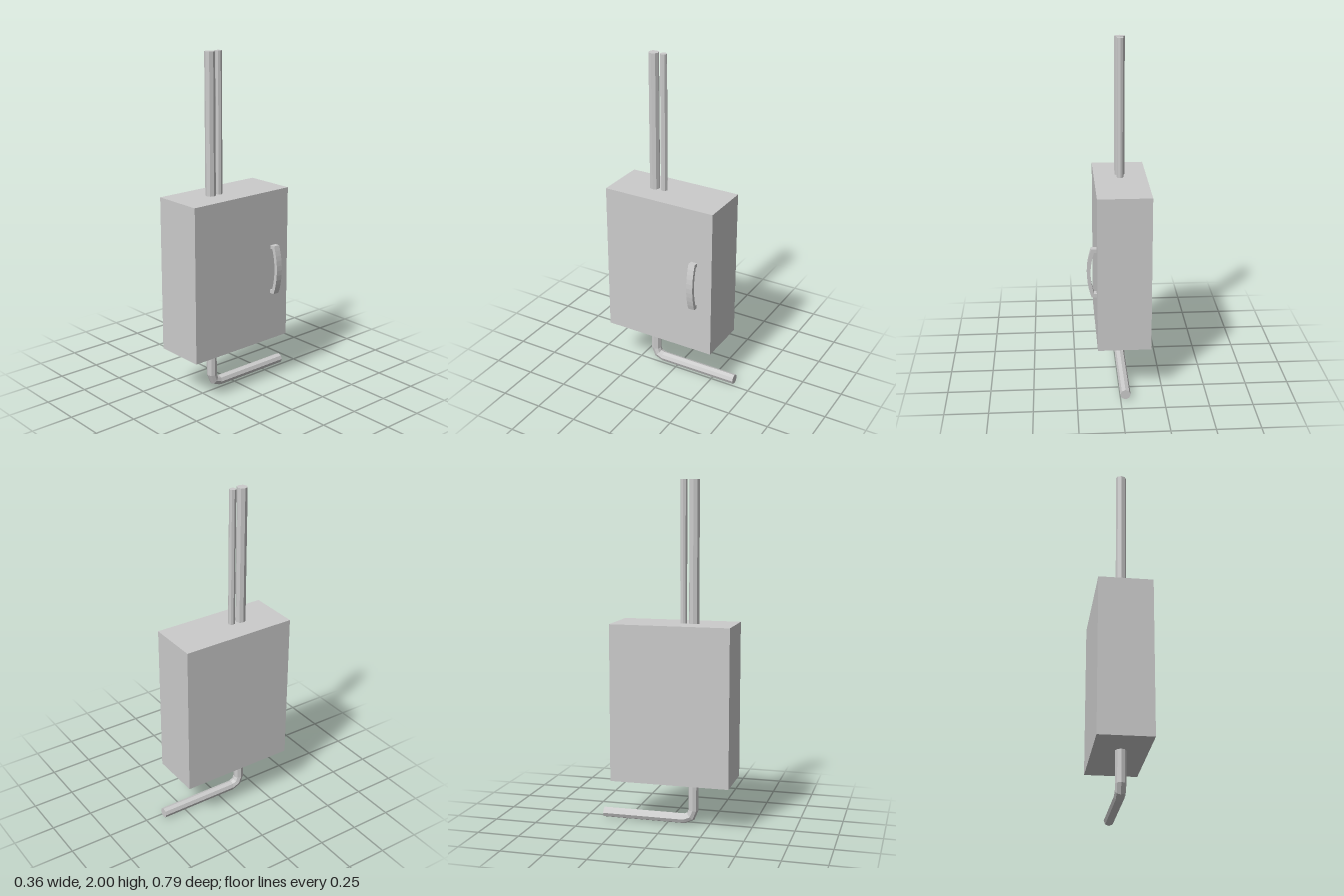
import * as THREE from 'three';

const material = new THREE.MeshStandardMaterial({ color: 0xcccccc, flatShading: true });
const PIPE_X = -0.028, PIPE_Z = 0.155, PIPE_R = 0.03;

function addPart(group, name, geometry, x = 0, y = 0, z = 0) {
  const mesh = new THREE.Mesh(geometry, material);
  mesh.name = name;
  mesh.position.set(x, y, z);
  group.add(mesh);
}

// Octagonal pipe that drops from the box, bends and runs backwards
function elbowPipeGeometry() {
  const bend = 0.055, low = 0.031;
  const cy = low + bend, cz = PIPE_Z - bend;
  const arc = (a) => ({ y: cy - bend * Math.sin(a), z: cz + bend * Math.cos(a), a });
  const rows = [
    { y: 0.28, z: PIPE_Z, a: 0 },
    arc(0), arc(Math.PI / 4), arc(Math.PI / 2),
    { y: low, z: -0.395, a: Math.PI / 2 },
  ];
  const steps = rows.length - 1;
  const geometry = new THREE.CylinderGeometry(PIPE_R, PIPE_R, 1, 8, steps);
  const p = geometry.attributes.position;
  for (let i = 0; i < p.count; i++) {
    const row = rows[Math.round((0.5 - p.getY(i)) * steps)];
    const offset = p.getZ(i);
    p.setXYZ(i, p.getX(i) + PIPE_X, row.y - offset * Math.sin(row.a), row.z + offset * Math.cos(row.a));
  }
  geometry.computeVertexNormals();
  return geometry;
}

// Bowed grab handle, drawn in x/y and extruded in z
function handleGeometry() {
  const shape = new THREE.Shape();
  shape.moveTo(0, -0.148);
  shape.lineTo(0.03, -0.148);
  shape.quadraticCurveTo(0.081, 0, 0.03, 0.148);
  shape.lineTo(0, 0.148);
  shape.lineTo(0, 0.126);
  shape.lineTo(0.015, 0.126);
  shape.quadraticCurveTo(0.055, 0, 0.015, -0.126);
  shape.lineTo(0, -0.126);
  shape.closePath();
  return new THREE.ExtrudeGeometry(shape, { depth: 0.04, bevelEnabled: false, curveSegments: 10 });
}

export function createModel() {
  const model = new THREE.Group();
  model.name = 'wallBoxWithPipes';

  // Cabinet
  addPart(model, 'cabinet', new THREE.BoxGeometry(0.308, 0.918, 0.7), -0.029, 0.729, 0.045);

  // Two upright pipes above the cabinet
  const uprights = [['largeUpperPipe', PIPE_R, PIPE_Z], ['smallUpperPipe', 0.02, 0.093]];
  for (const [name, r, z] of uprights) {
    addPart(model, name, new THREE.CylinderGeometry(r, r, 0.82, 8), PIPE_X, 1.59, z);
  }

  // Bent pipe below and side handle
  addPart(model, 'lowerElbowPipe', elbowPipeGeometry());
  addPart(model, 'handle', handleGeometry(), 0.125, 0.712, -0.212);

  return model;
}
